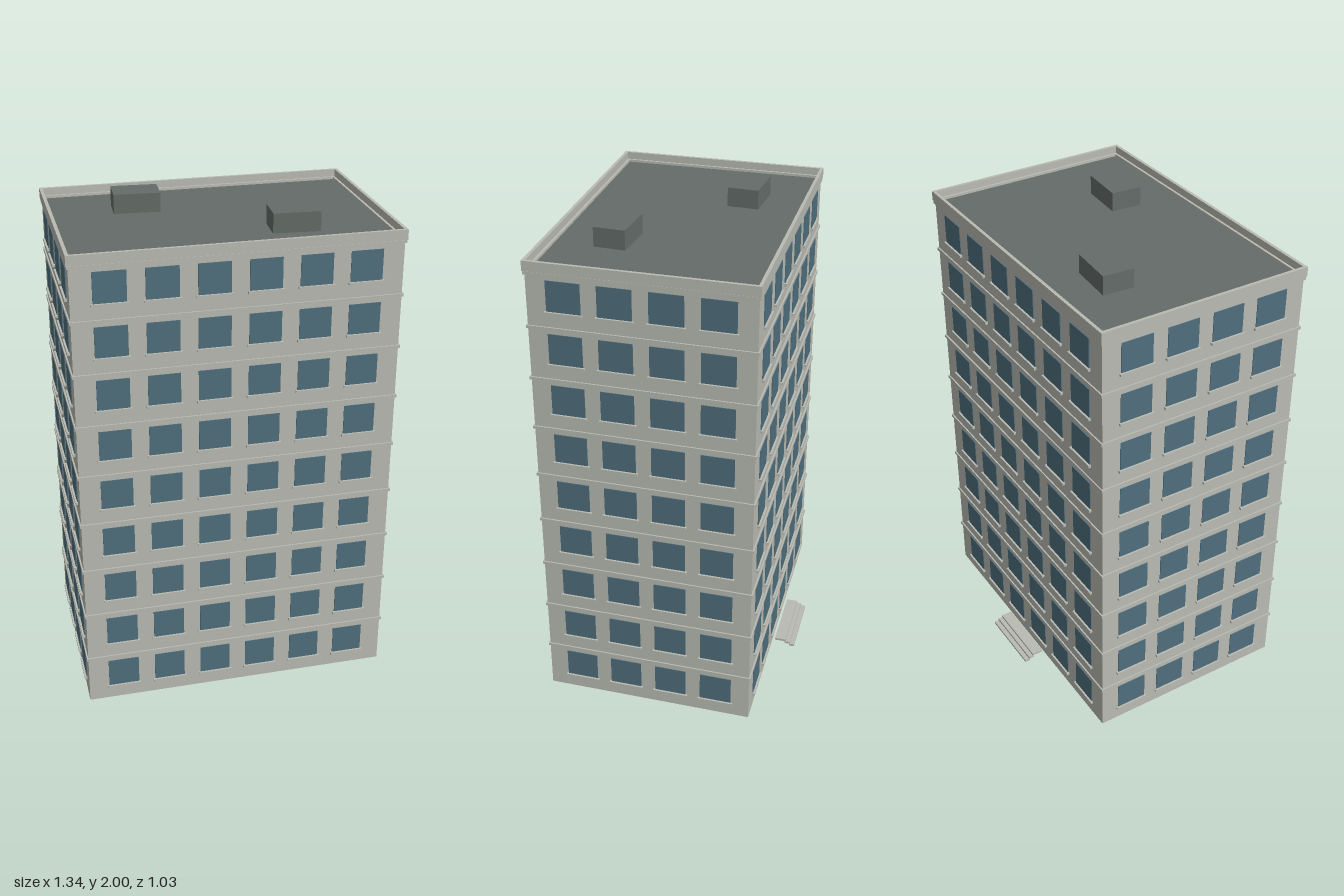
import * as THREE from 'three';

const wallMat = new THREE.MeshStandardMaterial({ color: 0xb9bbb3, name: 'concrete' });
const roofMat = new THREE.MeshStandardMaterial({ color: 0x646c68, name: 'roofing' });
const glassMat = new THREE.MeshStandardMaterial({ color: 0x4f6f7d, name: 'glass' });

// Slightly skewed footprint: centre plus two edge vectors in (x, z)
const C = new THREE.Vector2(0, 0.031);
const U = new THREE.Vector2(1.287, -0.0915);
const V = new THREE.Vector2(0.05, 0.8815);
const FLOORS = 9, STOREY = 0.2133, WALL_INSET = 0.008;

// Footprint corners moved inwards by an inset
function corners(inset) {
  const a = 0.5 - inset / U.length(), b = 0.5 - inset / V.length();
  return [[-1, 1], [1, 1], [1, -1], [-1, -1]].map(([s, t]) =>
    C.clone().addScaledVector(U, s * a).addScaledVector(V, t * b));
}

const outline = (inset) => corners(inset).map((p) => new THREE.Vector2(p.x, -p.y));

// Upright prism on the footprint, hollow when an inner inset is given
function slab(name, inset, y0, y1, mat, inner) {
  const shape = new THREE.Shape(outline(inset));
  if (inner !== undefined) shape.holes.push(new THREE.Path(outline(inner).reverse()));
  const geo = new THREE.ExtrudeGeometry(shape, { depth: y1 - y0, bevelEnabled: false });
  geo.rotateX(-Math.PI / 2);
  geo.translate(0, y0, 0);
  const mesh = new THREE.Mesh(geo, mat);
  mesh.name = name;
  return mesh;
}

function box(name, w, h, d, x, y, z, mat) {
  const mesh = new THREE.Mesh(new THREE.BoxGeometry(w, h, d), mat);
  mesh.name = name;
  mesh.position.set(x, y, z);
  return mesh;
}

// Group whose local x runs along a wall and local z points outwards
function facade(name, from, to) {
  const g = new THREE.Group();
  g.name = name;
  g.position.set((from.x + to.x) / 2, 0, (from.y + to.y) / 2);
  g.rotation.y = Math.atan2(-(to.y - from.y), to.x - from.x);
  return g;
}

export function createModel() {
  const model = new THREE.Group();
  model.name = 'apartmentBlock';

  // Main body, roof deck and parapet with a low inner kerb
  model.add(slab('walls', WALL_INSET, 0, 1.918, wallMat));
  model.add(slab('roofDeck', 0.013, 1.918, 1.922, roofMat));
  model.add(slab('parapet', 0, 1.922, 1.962, wallMat, 0.013));
  model.add(slab('parapetKerb', 0.013, 1.922, 1.932, wallMat, 0.023));

  // String course under each floor line
  for (let k = 1; k <= FLOORS; k++) {
    const y = k * STOREY - 0.005;
    model.add(slab('floorBand', 0.002, y - 0.006, y + 0.006, wallMat, WALL_INSET + 0.002));
  }

  // Windows with sills on all four sides
  const c = corners(WALL_INSET);
  const names = ['frontWindows', 'leftWindows', 'backWindows', 'rightWindows'];
  const sides = names.map((name, i) => {
    const g = facade(name, c[i], c[(i + 1) % 4]);
    const long = i % 2 === 0;
    const count = long ? 6 : 4, step = long ? 0.196 : 0.194, w = long ? 0.127 : 0.132;
    for (let f = 0; f < FLOORS; f++) {
      for (let n = 0; n < count; n++) {
        const x = (n - (count - 1) / 2) * step;
        const y = 0.125 + f * STOREY;
        g.add(box('window', w, 0.122, 0.006, x, y, 0, glassMat));
        g.add(box('windowSill', w + 0.014, 0.01, 0.014, x, y - 0.066, 0.004, wallMat));
      }
    }
    model.add(g);
    return g;
  });

  // Entrance steps behind the building: three thin treads
  const steps = new THREE.Group();
  steps.name = 'entranceSteps';
  steps.position.copy(sides[2].position);
  steps.rotation.copy(sides[2].rotation);
  [[0.016, 0.064, 0.025], [0.06, 0.083, 0.015], [0.08, 0.103, 0.005]].forEach(([z0, z1, y]) =>
    steps.add(box('step', 0.29, 0.01, z1 - z0, 0.006, y, (z0 + z1) / 2, wallMat)));
  model.add(steps);

  // Rooftop plant boxes
  model.add(box('roofUnit', 0.187, 0.08, 0.127, -0.294, 1.96, -0.144, roofMat));
  model.add(box('roofUnit', 0.187, 0.08, 0.127, 0.278, 1.96, 0.205, roofMat));

  return model;
}
